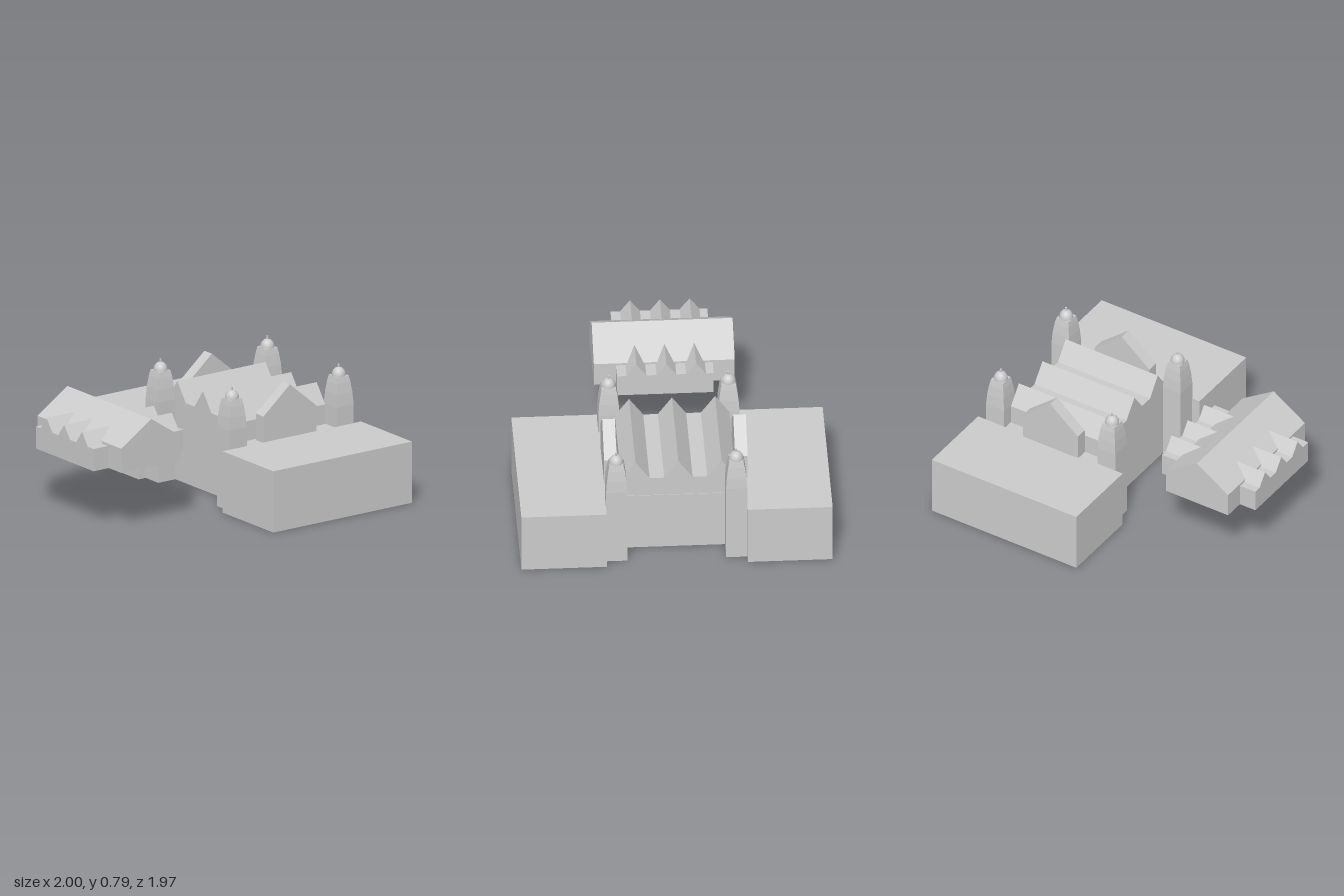
import * as THREE from 'three';

const material = new THREE.MeshStandardMaterial({ color: 0xcccccc });
const flat = new THREE.MeshStandardMaterial({ color: 0xcccccc, flatShading: true });

function add(parent, name, geometry, mat = flat) {
  const mesh = new THREE.Mesh(geometry, mat);
  mesh.name = name;
  parent.add(mesh);
  return mesh;
}

// Box given by its limits on each axis
function block(x0, x1, y0, y1, z0, z1) {
  return new THREE.BoxGeometry(x1 - x0, y1 - y0, z1 - z0)
    .translate((x0 + x1) / 2, (y0 + y1) / 2, (z0 + z1) / 2);
}

function extrude(points, depth) {
  const shape = new THREE.Shape(points.map(([a, b]) => new THREE.Vector2(a, b)));
  return new THREE.ExtrudeGeometry(shape, { depth, bevelEnabled: false });
}

// House-shaped section in x and y, running along z
function gable(x0, x1, y0, eave, peak, z0, z1) {
  const points = [[x0, y0], [x1, y0], [x1, eave], [(x0 + x1) / 2, peak], [x0, eave]];
  return extrude(points, z1 - z0).translate(0, 0, z0);
}

// Toothed roof section in z and y, running along x
function toothed(x0, x1, z0, z1, y0, valley, peak, peaks, half) {
  const points = [[z0, y0], [z1, y0]];
  if (z1 - peaks[peaks.length - 1] > half + 0.005) points.push([z1, valley]);
  for (const p of [...peaks].reverse()) {
    points.push([p + half, valley], [p, peak], [p - half, valley]);
  }
  if (peaks[0] - z0 > half + 0.005) points.push([z0, valley]);
  return extrude(points, x1 - x0).rotateY(-Math.PI / 2).translate(x1, 0, 0);
}

function tower(x, z) {
  const group = new THREE.Group();
  group.name = 'tower';
  // Square shaft whose upper part curves inward
  const profile = [[0, 0], [0.0675, 0], [0.0675, 0.53], [0.062, 0.61], [0.053, 0.68], [0.045, 0.72], [0, 0.72]]
    .map(([r, y]) => new THREE.Vector2(r * Math.SQRT2, y));
  add(group, 'towerShaft', new THREE.LatheGeometry(profile, 4, Math.PI / 4));
  const dome = new THREE.SphereGeometry(0.045, 24, 10, 0, Math.PI * 2, 0, Math.PI / 2).scale(1, 1.2, 1);
  add(group, 'towerDome', dome.translate(0, 0.72, 0), material);
  add(group, 'towerFinial', new THREE.CylinderGeometry(0.007, 0.007, 0.025, 12).translate(0, 0.78, 0), material);
  group.position.set(x, 0, z);
  return group;
}

export function createModel() {
  const model = new THREE.Group();
  model.name = 'buildings';

  // Main building: two wings joined by a hall with a toothed roof
  const main = new THREE.Group();
  main.name = 'mainBuilding';
  add(main, 'frontWing', block(-0.09, 1, 0, 0.405, 0.443, 0.985));
  add(main, 'backWing', block(-0.09, 1, 0, 0.405, -0.988, -0.45));
  add(main, 'hallBase', block(0.1, 0.798, 0, 0.4, -0.45, 0.443));
  add(main, 'hall', toothed(0.1, 0.794, -0.385, 0.34, 0.002, 0.53, 0.655, [-0.295, -0.022, 0.25], 0.09));
  add(main, 'frontGable', gable(0.235, 0.65, 0.4, 0.575, 0.75, 0.36, 0.44));
  add(main, 'backGable', gable(0.235, 0.65, 0.4, 0.575, 0.75, -0.47, -0.39));
  for (const x of [0.033, 0.873]) {
    for (const z of [0.377, -0.383]) main.add(tower(x, z));
  }
  model.add(main);

  // Raised side building: gabled nave crossed by a lower toothed roof
  const side = new THREE.Group();
  side.name = 'sideBuilding';
  add(side, 'nave', gable(-0.885, -0.415, 0.405, 0.565, 0.72, -0.45, 0.443));
  add(side, 'crossRoof', toothed(-1, -0.295, -0.31, 0.303, 0.403, 0.55, 0.633, [-0.198, -0.01, 0.18], 0.063));
  model.add(side);

  return model;
}
